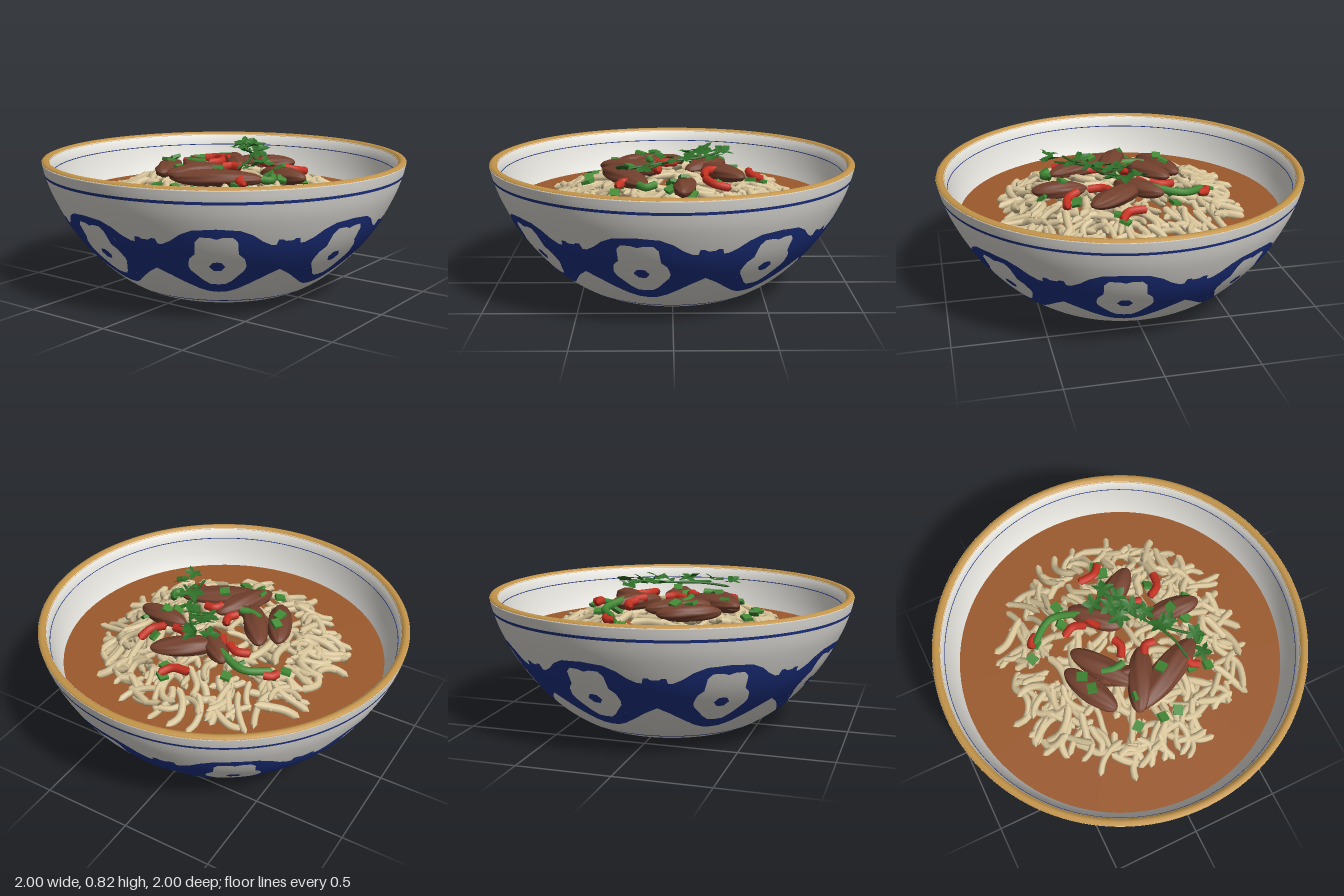
import * as THREE from 'three';

const mat = (name, color, side = THREE.FrontSide) =>
  Object.assign(new THREE.MeshStandardMaterial({ color, side }), { name });

const V = (x, y, z) => new THREE.Vector3(x, y, z);
const P = (x, y) => new THREE.Vector2(x, y);
const deg = Math.PI / 180;

// Outer wall profile from foot to rim, and its radius at a given height
const wall = new THREE.SplineCurve([
  P(0.4, 0.004), P(0.5, 0.04), P(0.61, 0.11), P(0.71, 0.2), P(0.805, 0.31),
  P(0.88, 0.42), P(0.95, 0.56), P(0.985, 0.66), P(1, 0.725),
]).getPoints(48);
function radiusAt(y) {
  const i = Math.max(1, wall.findIndex((p) => p.y >= y));
  const a = wall[i - 1], b = wall[i];
  return a.x + ((b.x - a.x) * (y - a.y)) / (b.y - a.y);
}

// Linear interpolation through [x, y] pairs
function curve(points) {
  return (x) => {
    for (let i = 1; i < points.length; i++) {
      const [x0, y0] = points[i - 1], [x1, y1] = points[i];
      if (x <= x1) return y0 + ((y1 - y0) * (x - x0)) / (x1 - x0);
    }
    return points[points.length - 1][1];
  };
}

// Painted patch hugging the wall, between two height curves over an angle range in degrees
function painted(from, to, steps, low, high, rows = 10) {
  const pos = [], index = [];
  for (let i = 0; i <= steps; i++) {
    const u = from + ((to - from) * i) / steps;
    const lo = low(Math.abs(u)), hi = high(Math.abs(u));
    for (let j = 0; j <= rows; j++) {
      const y = lo + ((hi - lo) * j) / rows, r = radiusAt(y) + 0.003;
      pos.push(r * Math.sin(u * deg), y, r * Math.cos(u * deg));
      if (i < steps && j < rows) {
        const a = i * (rows + 1) + j, b = a + rows + 1;
        index.push(a, b, a + 1, b, b + 1, a + 1);
      }
    }
  }
  const g = new THREE.BufferGeometry();
  g.setAttribute('position', new THREE.Float32BufferAttribute(pos, 3));
  g.setIndex(index);
  g.computeVertexNormals();
  return g;
}

// Curved strand with closed, pinched ends
function strand(points, radius, segments = 10, sides = 7) {
  const path = new THREE.CatmullRomCurve3(points);
  const g = new THREE.TubeGeometry(path, segments, radius, sides);
  const pos = g.attributes.position, ring = sides + 1;
  for (const s of [0, segments]) {
    const c = path.getPointAt(s / segments);
    for (let k = 0; k < ring; k++) pos.setXYZ(s * ring + k, c.x, c.y, c.z);
  }
  return g;
}

export function createModel() {
  const model = new THREE.Group();
  const porcelain = mat('porcelain white', 0xe4e2dc);
  const blue = mat('cobalt blue', 0x1f3488);
  const gold = mat('gold', 0xc4954a);
  const broth = mat('broth brown', 0x9c5a2d);
  const noodleMat = mat('noodle cream', 0xdac79c);
  const meatMat = mat('meat brown', 0x73402d);
  const red = mat('chilli red', 0xc83222);
  const green = mat('onion green', 0x438a35);
  const leafGreen = mat('herb green', 0x2f7029, THREE.DoubleSide);

  let seed = 7;
  const rand = (a = 0, b = 1) => {
    seed = (seed * 16807) % 2147483647;
    return a + ((b - a) * seed) / 2147483647;
  };
  const add = (name, geometry, material, parent = model) => {
    const m = new THREE.Mesh(geometry, material);
    m.name = name;
    parent.add(m);
    return m;
  };
  const group = (name) => {
    const g = new THREE.Group();
    g.name = name;
    model.add(g);
    return g;
  };
  const mound = (x, z) => 0.505 + 0.145 * Math.max(0, 1 - (x * x + z * z) / 0.5);

  // Bowl: recessed foot, outer wall, inner wall down to below the broth
  add('bowl', new THREE.LatheGeometry([
    P(0, 0.03), P(0.31, 0.03), P(0.335, 0.022), P(0.35, 0.006), P(0.365, 0), P(0.385, 0), ...wall,
    P(0.957, 0.725), P(0.945, 0.66), P(0.92, 0.58), P(0.88, 0.48), P(0.82, 0.42),
  ], 128), porcelain);
  add('rim', new THREE.LatheGeometry([
    P(1, 0.724), P(0.996, 0.732), P(0.98, 0.738), P(0.964, 0.733), P(0.955, 0.72),
  ], 128), gold);
  add('broth', new THREE.CircleGeometry(0.888, 96).rotateX(-Math.PI / 2), broth).position.y = 0.5;

  // Painted lines
  const line = (y, h) => painted(0, 360, 128, () => y - h / 2, () => y + h / 2, 1);
  add('upperLine', line(0.662, 0.015), blue);
  add('footLine', line(0.058, 0.007), blue);
  add('innerLine', new THREE.TorusGeometry(0.945, 0.0025, 4, 128).rotateX(Math.PI / 2), blue)
    .position.y = 0.66;

  // Eight painted medallions: a lobed band with a bell-shaped opening and a central dot
  const top = curve([[0, 0.53], [7, 0.522], [11, 0.495], [14, 0.46], [17, 0.437], [18.5, 0.437],
    [19, 0.465], [20.5, 0.465], [21.2, 0.455], [22.5, 0.455]]);
  const bottom = curve([[0, 0.14], [4, 0.145], [8, 0.165], [13, 0.205], [18, 0.25], [22.5, 0.285]]);
  const bellTop = curve([[0, 0.475], [2, 0.485], [5, 0.485], [6.5, 0.46], [7, 0.39], [9.2, 0.36], [10, 0.315]]);
  const bellBottom = curve([[0, 0.197], [3, 0.2], [5.5, 0.225], [8, 0.265], [9.5, 0.29], [10, 0.315]]);
  const dotHigh = curve([[0, 0.342], [1.4, 0.34], [2.8, 0.315]]);
  const dotLow = curve([[0, 0.288], [1.4, 0.29], [2.8, 0.315]]);
  const patches = [
    painted(-22.5, -10, 25, bottom, top), painted(10, 22.5, 25, bottom, top),
    painted(-10, 10, 40, bottom, bellBottom), painted(-10, 10, 40, bellTop, top),
    painted(-2.8, 2.8, 8, dotLow, dotHigh, 3),
  ];
  const pattern = group('paintedBand');
  for (let k = 0; k < 8; k++) {
    const medallion = new THREE.Group();
    medallion.name = 'medallion';
    medallion.rotation.y = (-10.9 + 45 * k) * deg;
    patches.forEach((g) => add('medallionPaint', g, blue, medallion));
    pattern.add(medallion);
  }

  // Heap of short curved noodles
  const noodles = group('noodles');
  for (let i = 0; i < 300; i++) {
    const r = 0.64 * Math.sqrt(rand()), t = rand(0, Math.PI * 2);
    const x = r * Math.cos(t), z = r * Math.sin(t);
    const a = rand(0, Math.PI * 2), len = rand(0.06, 0.12), bend = rand(-0.05, 0.05);
    const tilt = rand(-0.03, 0.03), sink = rand(0, 0.045);
    const pts = [-1, -0.35, 0.35, 1].map((s) => {
      const side = bend * (1 - s * s) + rand(-0.008, 0.008);
      const px = x + Math.cos(a) * len * s - Math.sin(a) * side;
      const pz = z + Math.sin(a) * len * s + Math.cos(a) * side;
      return V(px, Math.max(0.495, mound(px, pz) - sink * (r < 0.5 ? 1 : 0.3) + tilt * s), pz);
    });
    add('noodle', strand(pts, rand(0.016, 0.023)), noodleMat, noodles);
  }

  // Meat slices: ridged spindles laid between two points [x0, z0, x1, z1, half width, height]
  const meats = group('meat');
  [
    [-0.33, -0.18, -0.01, -0.33, 0.065, 0.66], [-0.24, -0.04, 0.07, -0.26, 0.065, 0.67],
    [-0.37, -0.09, -0.15, 0.37, 0.08, 0.655], [-0.4, -0.08, -0.07, 0.09, 0.065, 0.675],
    [0.08, 0.2, 0.05, 0.5, 0.06, 0.645], [0.08, 0.05, 0.3, -0.17, 0.06, 0.67],
    [0.15, -0.08, 0.38, 0.23, 0.07, 0.665], [-0.2, 0.06, -0.14, -0.2, 0.05, 0.655],
  ].forEach(([x0, z0, x1, z1, w, y], n) => {
    const g = new THREE.SphereGeometry(1, 28, 20).rotateZ(Math.PI / 2), p = g.attributes.position;
    for (let i = 0; i < p.count; i++) {
      const k = 1 + 0.06 * Math.sin(7 * Math.atan2(p.getZ(i), p.getY(i)) + 3 * p.getX(i) + n);
      p.setXYZ(i, p.getX(i), p.getY(i) * k, p.getZ(i) * k);
    }
    g.scale(Math.hypot(x1 - x0, z1 - z0) / 2, 0.046, w);
    g.computeVertexNormals();
    const m = add('meatSlice', g, meatMat, meats);
    m.position.set((x0 + x1) / 2, y, (z0 + z1) / 2);
    m.rotation.set(0, -Math.atan2(z1 - z0, x1 - x0), 0);
  });

  // Chilli rings: arcs through three points seen from above, lying on the heap
  const arcs = group('chillies');
  const arc = (name, material, lift, radius) => ([x0, z0, x1, z1, x2, z2]) => add(name, strand(
    [[x0, z0], [x1, z1], [x2, z2]].map(([x, z]) => V(x, mound(x, z) + lift, z)), radius, 14, 8), material, arcs);
  [
    [0.16, -0.26, 0.19, -0.19, 0.16, -0.12], [-0.09, -0.04, -0.03, -0.01, 0.03, -0.03],
    [0.43, -0.05, 0.44, 0.05, 0.5, 0.1], [0.26, 0.09, 0.19, 0.13, 0.17, 0.22],
    [0.17, 0.26, 0.22, 0.33, 0.31, 0.35], [-0.13, 0.08, -0.08, 0.11, -0.08, 0.17],
    [-0.29, 0.34, -0.26, 0.29, -0.2, 0.29], [0.12, -0.06, 0.19, -0.1, 0.25, -0.1],
    [0.19, -0.44, 0.23, -0.42, 0.25, -0.38],
  ].forEach(arc('redChilli', red, 0.05, 0.023));
  [
    [0.2, -0.42, 0.29, -0.28, 0.23, -0.1], [-0.11, -0.17, -0.13, -0.1, -0.12, -0.03],
    [-0.18, 0.37, -0.14, 0.41, -0.08, 0.38],
  ].forEach(arc('greenChilli', green, 0.06, 0.021));

  // Chopped spring onion
  const onions = group('springOnion');
  const onionPiece = new THREE.BoxGeometry(0.055, 0.018, 0.05);
  [
    [-0.18, -0.25, 0.71], [-0.1, -0.27, 0.71], [-0.45, -0.11], [-0.46, 0.03], [-0.46, 0.12], [0.14, -0.46],
    [0.21, -0.41], [0.35, -0.22], [0.43, 0.1], [0.49, 0.08], [-0.32, -0.05, 0.7], [0.1, 0.45], [-0.01, 0.39],
    [-0.3, 0.38], [-0.28, 0.29], [0.25, 0.29], [-0.23, 0.13, 0.71], [0.06, 0.33, 0.69], [0.24, -0.24], [0, 0.3],
  ].forEach(([x, z, y]) => {
    const m = add('onionPiece', onionPiece, green, onions);
    m.position.set(x, y ?? mound(x, z) + 0.035, z);
    m.rotation.set(rand(-0.4, 0.4), rand(0, 3), rand(-0.4, 0.4));
  });

  // Herb sprig: stems and cupped, lobed leaves
  const herbs = group('herbs');
  [
    [V(-0.27, 0.72, 0.28), V(-0.12, 0.74, 0.25), V(0.02, 0.75, 0.17), V(0.16, 0.76, 0.06)],
    [V(-0.14, 0.735, 0.35), V(-0.06, 0.745, 0.25), V(0.02, 0.75, 0.17)],
    [V(0.02, 0.75, 0.17), V(0.14, 0.755, 0.13), V(0.27, 0.765, 0.01)],
  ].forEach((pts) => add('stem', strand(pts, 0.007, 16, 6), leafGreen, herbs));
  const leaf = new THREE.CircleGeometry(1, 40).rotateX(-Math.PI / 2);
  const lp = leaf.attributes.position;
  for (let i = 1; i < lp.count; i++) {
    const t = Math.atan2(lp.getZ(i), lp.getX(i));
    const k = 0.8 + 0.25 * Math.cos(5 * t) + 0.08 * Math.cos(15 * t);
    lp.setXYZ(i, lp.getX(i) * k, 0.2 * Math.cos(2 * t) + 0.12, lp.getZ(i) * k);
  }
  leaf.computeVertexNormals();
  [
    [-0.26, 0.74, 0.36, 0.05], [-0.15, 0.745, 0.37, 0.055], [-0.04, 0.775, 0.22, 0.06], [-0.02, 0.755, 0.27, 0.05],
    [0.07, 0.765, 0.18, 0.055], [0.12, 0.785, 0.12, 0.06], [0.1, 0.765, 0.04, 0.06], [0.17, 0.78, 0.02, 0.06],
    [0.23, 0.76, -0.05, 0.055], [0.28, 0.77, 0.03, 0.06], [0.22, 0.75, 0.09, 0.055], [0.15, 0.775, 0.08, 0.05],
  ].forEach(([x, y, z, s], i) => {
    const m = add('leaf', leaf, i % 3 ? leafGreen : green, herbs);
    if (!(i % 3)) m.material = leafGreen;
    m.position.set(x, y, z);
    m.scale.setScalar(s);
    m.rotation.set(rand(-0.3, 0.3), rand(0, 6), rand(-0.3, 0.3));
  });

  return model;
}
